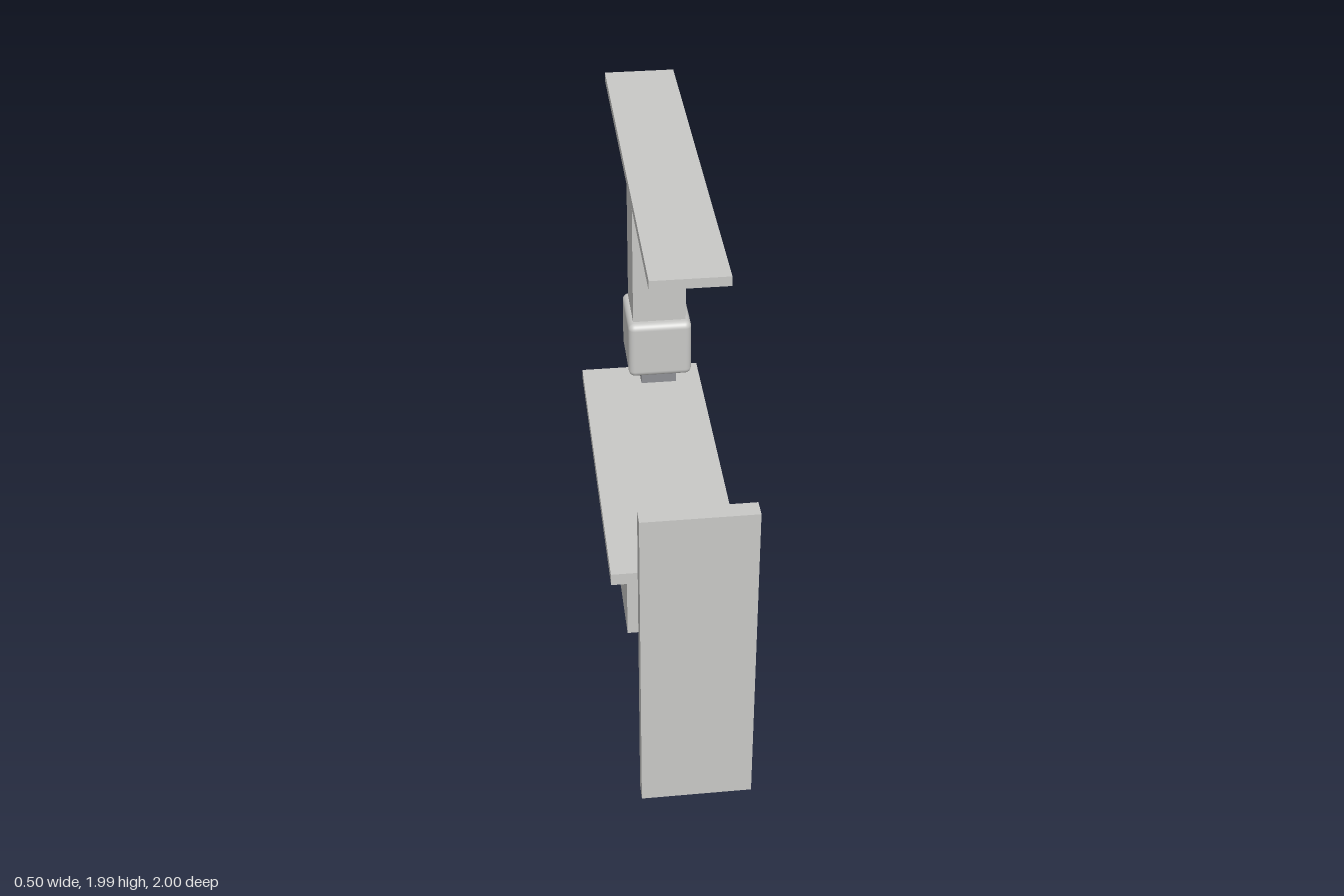
import * as THREE from 'three';
import { RoundedBoxGeometry } from 'three/addons/geometries/RoundedBoxGeometry.js';

export function createModel() {
  const model = new THREE.Group();
  model.name = 'imagingRoom';

  const lightGrey = new THREE.MeshStandardMaterial({ color: 0xc8c8c6 });
  lightGrey.name = 'lightGrey';
  const darkGrey = new THREE.MeshStandardMaterial({ color: 0x8e8f94 });
  darkGrey.name = 'darkGrey';

  // Box centred on x = 0, given its width and its y and z ranges; radius rounds the edges
  function addBox(name, width, [y0, y1], [z0, z1], material, radius = 0) {
    const size = [width, y1 - y0, z1 - z0];
    const geometry = radius
      ? new RoundedBoxGeometry(...size, 4, radius)
      : new THREE.BoxGeometry(...size);
    const mesh = new THREE.Mesh(geometry, material);
    mesh.name = name;
    mesh.position.set(0, (y0 + y1) / 2, (z0 + z1) / 2);
    model.add(mesh);
  }

  // Patient table
  addBox('tableBase', 0.33, [0, 0.51], [-0.7, 0.1], lightGrey);
  addBox('tableTop', 0.5, [0.51, 0.56], [-1, 0.4], lightGrey);

  // Ceiling rail with the hanging tube head
  addBox('ceilingRail', 0.266, [1.955, 1.99], [-0.9, 0.7], lightGrey);
  addBox('hangingColumn', 0.2, [1.27, 1.94], [-0.4, -0.2], lightGrey);
  addBox('tubeHead', 0.24, [1.054, 1.285], [-0.432, -0.166], lightGrey, 0.025);
  addBox('collimator', 0.134, [0.985, 1.056], [-0.366, -0.232], darkGrey);

  // Upright wall stand with its detector plate facing the table
  addBox('wallStand', 0.4, [0, 1.268], [0.935, 1], lightGrey);
  addBox('detectorPlate', 0.334, [0.77, 1.102], [0.896, 0.935], darkGrey);

  return model;
}
